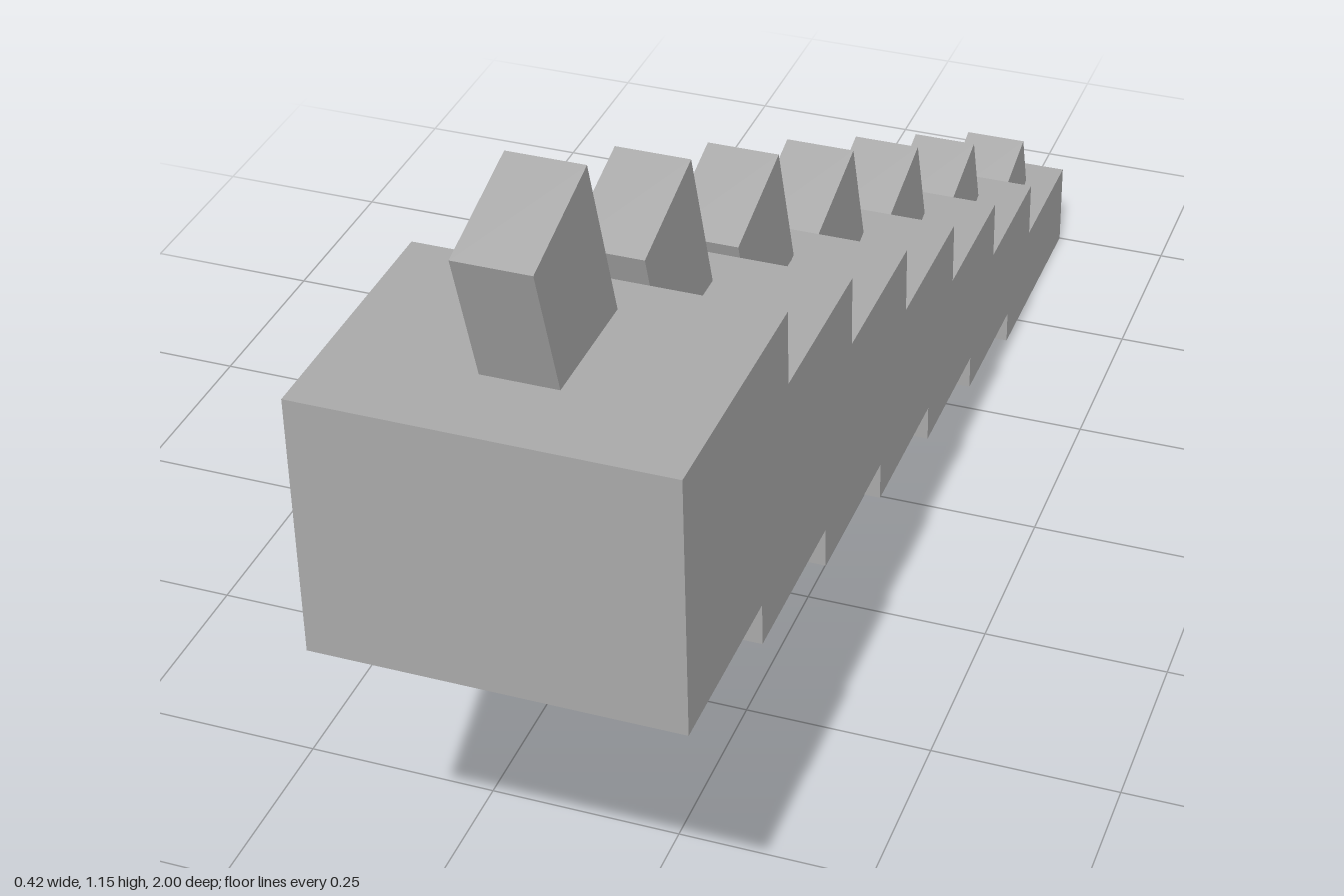
import * as THREE from 'three';

export function createModel() {
  const model = new THREE.Group();
  const grey = new THREE.MeshStandardMaterial({ color: 0xaaaaaa });
  grey.name = 'grey';

  const addBox = (parent, name, w, h, d) => {
    const mesh = new THREE.Mesh(new THREE.BoxGeometry(w, h, d), grey);
    mesh.name = name;
    parent.add(mesh);
    return mesh;
  };

  // Seven overlapping blocks shrink and descend toward the back
  const count = 7;
  for (let i = 0; i < count; i++) {
    const scale = 1 - 0.1 * i;
    const height = 0.317 * scale;
    const segment = new THREE.Group();
    segment.name = `tailSegment${i + 1}`;
    segment.position.set(0, 0.1033 * (count - 1 - i) + height / 2, 0.845 - 0.2817 * i);
    model.add(segment);

    addBox(segment, 'block', 0.423 * scale, height, 0.31);

    // Forward-leaning spine standing on the block
    const spine = addBox(segment, 'spine', 0.088, 0.7 * height, 0.148);
    spine.position.y = 0.75 * height + 0.002;
    spine.rotation.x = 0.3;
  }
  return model;
}
